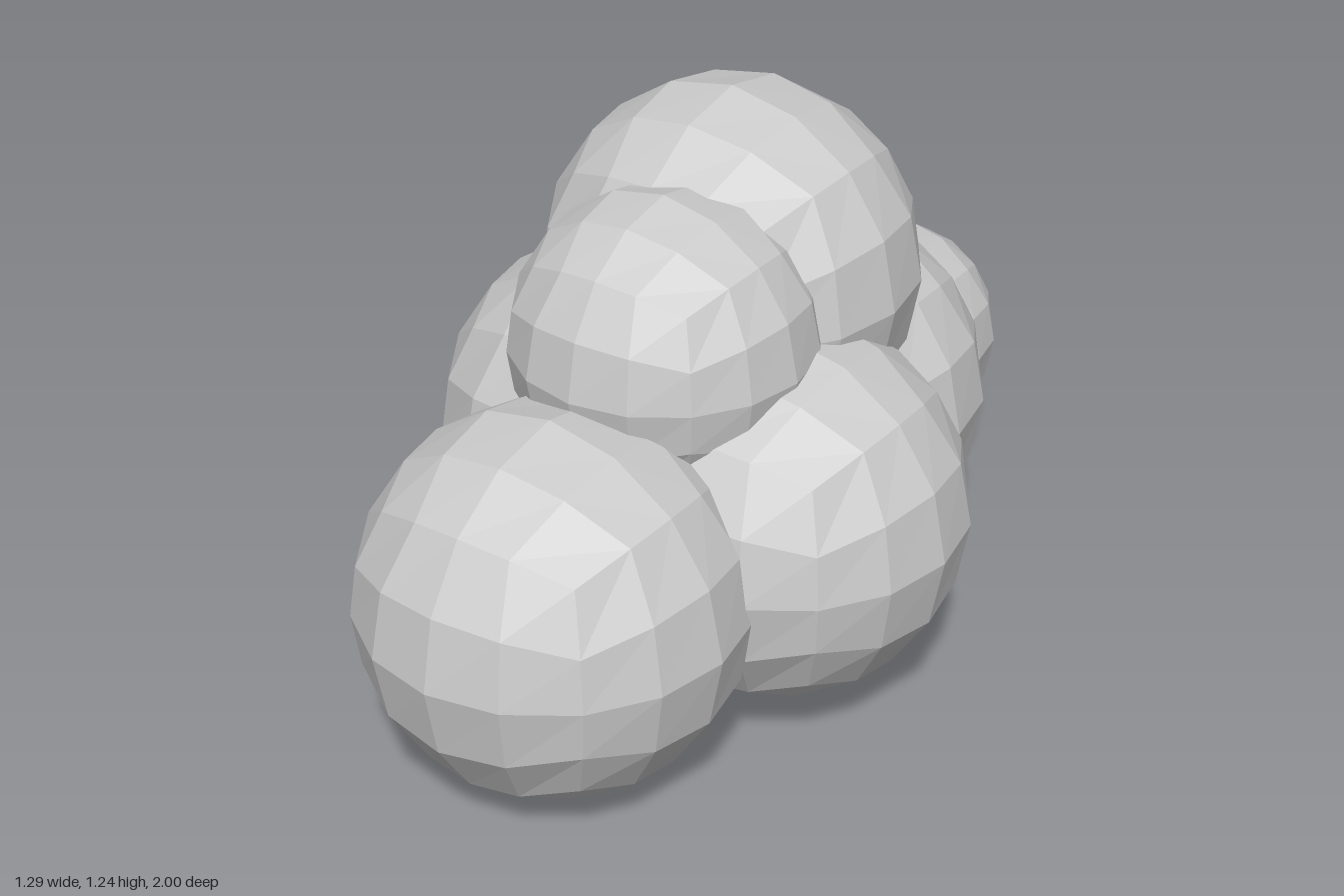
import * as THREE from 'three';

// Faceted ball: a box grid pushed out to a sphere, with even angular steps
function puffGeometry(radius) {
  const geometry = new THREE.BoxGeometry(2, 2, 2, 4, 4, 4);
  const position = geometry.attributes.position;
  const v = new THREE.Vector3();
  const warp = (t) => Math.tan(t * Math.PI / 4);
  for (let i = 0; i < position.count; i++) {
    v.fromBufferAttribute(position, i);
    v.set(warp(v.x), warp(v.y), warp(v.z)).setLength(radius);
    position.setXYZ(i, v.x, v.y, v.z);
  }
  geometry.computeVertexNormals();
  return geometry;
}

// Cloud puffs: name, centre, radius
const PUFFS = [
  ['frontPuff', [0.031, 0.408, 0.593], 0.408],
  ['leftPuff', [0.239, 0.448, 0.103], 0.403],
  ['rightPuff', [-0.243, 0.449, -0.025], 0.404],
  ['topPuff', [-0.038, 0.832, -0.127], 0.405],
  ['upperFrontPuff', [0.028, 0.82, 0.207], 0.322],
  ['backPuff', [0.008, 0.45, -0.345], 0.402],
  ['tailPuff', [0.035, 0.46, -0.635], 0.254],
  ['tailTipPuff', [0.032, 0.325, -0.852], 0.148],
];

export function createModel() {
  const cloud = new THREE.Group();
  cloud.name = 'cloud';
  const material = new THREE.MeshStandardMaterial({ color: 0xcccccc, flatShading: true });

  for (const [name, centre, radius] of PUFFS) {
    const puff = new THREE.Mesh(puffGeometry(radius), material);
    puff.name = name;
    puff.position.set(...centre);
    cloud.add(puff);
  }
  return cloud;
}
